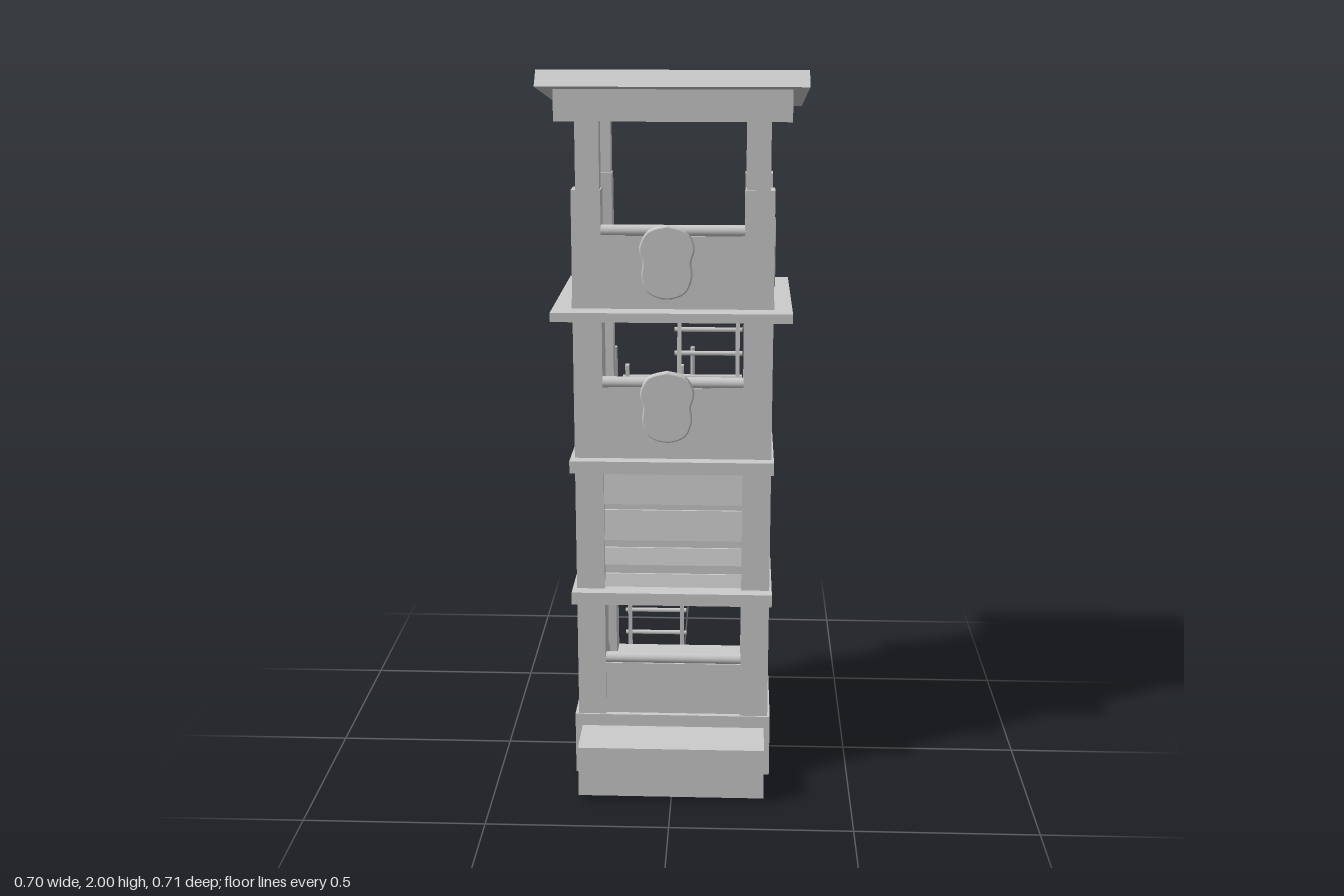
import * as THREE from 'three';

const mat = new THREE.MeshStandardMaterial({ color: 0xcccccc });
const V = (x, y, z) => new THREE.Vector3(x, y, z);

export function createModel() {
  const root = new THREE.Group();

  const add = (name, geo, parent = root) => {
    const m = new THREE.Mesh(geo, mat);
    m.name = name;
    parent.add(m);
    return m;
  };
  // Box given by its limits
  const box = (name, x0, x1, y0, y1, z0, z1, parent) => {
    const g = new THREE.BoxGeometry(x1 - x0, y1 - y0, z1 - z0);
    g.translate((x0 + x1) / 2, (y0 + y1) / 2, (z0 + z1) / 2);
    return add(name, g, parent);
  };
  // Round bar between two points
  const bar = (name, a, b, r, parent, sides = 14) => {
    const d = b.clone().sub(a);
    const m = add(name, new THREE.CylinderGeometry(r, r, d.length(), sides), parent);
    m.position.copy(a).add(b).multiplyScalar(0.5);
    m.quaternion.setFromUnitVectors(V(0, 1, 0), d.normalize());
    return m;
  };
  // Side profile of [z, y] points, extruded across x
  const profile = (name, pts, x0, x1, parent) => {
    const s = new THREE.Shape(pts.map(([z, y]) => new THREE.Vector2(z, y)));
    const g = new THREE.ExtrudeGeometry(s, { depth: x1 - x0, bevelEnabled: false });
    g.rotateY(-Math.PI / 2).translate(x1, 0, 0);
    return add(name, g, parent);
  };

  // Plinth and front step
  box('base', -0.278, 0.275, 0.02, 0.2, -0.295, 0.215);
  box('frontStep', -0.258, 0.258, 0.02, 0.165, 0.2, 0.358);

  // Floors
  box('lowerFloor', -0.28, 0.275, 0.545, 0.58, -0.282, 0.245);
  box('middleFloor', -0.28, 0.275, 0.925, 0.96, -0.282, 0.245);
  box('upperFloor', -0.322, 0.318, 1.35, 1.375, -0.282, 0.27);
  box('upperFloorDeck', -0.27, 0.27, 1.375, 1.4, -0.25, 0.21);

  // Corner posts, the rear ones leaning and spreading towards the foot
  for (const s of [-1, 1]) {
    const span = (a, b) => (s > 0 ? [a, b] : [-b, -a]);
    const wide = span(0.19, 0.268), slim = span(0.193, 0.256);
    box('frontPost', ...wide, 0.2, 1.36, 0.155, 0.21);
    box('frontPostSleeve', ...wide, 1.4, 1.69, 0.14, 0.21);
    box('frontPostTop', ...slim, 1.6, 1.9, 0.155, 0.205);
    profile('rearPost', [[-0.2, 0.2], [-0.295, 0.2], [-0.265, 0.56], [-0.254, 0.95],
      [-0.24, 1.36], [-0.185, 1.36], [-0.18, 0.56]], ...wide);
    profile('rearPostSleeve', [[-0.19, 1.4], [-0.258, 1.4], [-0.236, 1.69], [-0.172, 1.69]], ...wide);
    profile('rearPostTop', [[-0.185, 1.6], [-0.245, 1.6], [-0.232, 1.885], [-0.182, 1.885]], ...slim);
  }

  // Sloping roof slab on a wedge-shaped frame
  profile('roofSlab', [[0.235, 2], [0.277, 1.96], [-0.315, 1.867], [-0.347, 1.907]], -0.35, 0.35);
  profile('roofFrame', [[0.21, 1.955], [0.21, 1.867], [-0.31, 1.867], [-0.31, 1.87]], -0.31, 0.31);

  // Star-shaped bracing on both sides of the open storeys
  for (const s of [-1, 1]) for (const [y0, y1] of [[0.2, 0.545], [0.96, 1.35]]) {
    const g = new THREE.Group();
    g.name = 'sideBracing';
    root.add(g);
    const x = 0.228 * s, f = 0.165, b = -0.215, ym = (y0 + y1) / 2 + 0.005;
    bar('uprightBrace', V(x, y0, -0.028), V(x, y1, -0.028), 0.027, g);
    bar('levelBrace', V(x, ym, f), V(x, ym, b), 0.014, g);
    bar('diagonalBrace', V(x, y0 + 0.01, f), V(x, y1 - 0.01, b), 0.017, g);
    bar('diagonalBrace', V(x, y1 - 0.01, f), V(x, y0 + 0.01, b), 0.017, g);
  }

  // Slatted walls of the closed storey: each slat tilts outward at its foot
  const slats = [[0.825, 0.918], [0.72, 0.805], [0.648, 0.695], [0.583, 0.618]];
  const slatWall = (name, half) => {
    const g = new THREE.Group();
    g.name = name;
    root.add(g);
    box('wallPanel', -half, half, 0.575, 0.93, -0.02, 0, g);
    for (const [y0, y1] of slats)
      profile('slat', [[-0.005, y0], [-0.005, y1], [0.006, y1], [0.016, y0]], -half + 0.002, half - 0.002, g);
    return g;
  };
  slatWall('frontSlatWall', 0.193).position.z = 0.185;
  for (const s of [-1, 1]) {
    const w = slatWall('sideSlatWall', 0.172);
    w.position.set(0.238 * s, 0, -0.012);
    w.rotation.y = s * Math.PI / 2;
  }

  // Shield with a round head and a pinched waist
  const shieldShape = new THREE.Shape(new THREE.SplineCurve(
    [[0, 0.098], [0.05, 0.083], [0.073, 0.04], [0.064, 0.0], [0.067, -0.04], [0.048, -0.082], [0, -0.098],
      [-0.048, -0.082], [-0.067, -0.04], [-0.064, 0.0], [-0.073, 0.04], [-0.05, 0.083], [0, 0.098]]
      .map(p => new THREE.Vector2(...p))).getPoints(48).slice(0, -1));
  const shieldGeo = new THREE.ExtrudeGeometry(shieldShape,
    { depth: 0.02, bevelThickness: 0.004, bevelSize: 0.004, bevelOffset: -0.004, bevelSegments: 2 });

  // Parapet: a panel, a round rail and, where asked, a shield
  const parapet = (name, half, y0, y1, shieldX, shieldY) => {
    const g = new THREE.Group();
    g.name = name;
    root.add(g);
    box('parapetPanel', -half, half, y0, y1, -0.015, 0.015, g);
    bar('parapetRail', V(-half, y1 + 0.012, 0), V(half, y1 + 0.012, 0), 0.016, g);
    if (shieldY) add('shield', shieldGeo, g).position.set(shieldX, shieldY, 0.012);
    return g;
  };
  parapet('lowerFrontParapet', 0.193, 0.2, 0.352).position.z = 0.185;
  parapet('middleFrontParapet', 0.193, 0.96, 1.158, -0.015, 1.108).position.z = 0.195;
  parapet('upperFrontParapet', 0.193, 1.4, 1.57, -0.015, 1.502).position.z = 0.195;
  for (const s of [-1, 1]) {
    const p = parapet('upperSideParapet', 0.175, 1.4, 1.535, 0, 1.493);
    p.position.set(0.238 * s, 0, -0.013);
    p.rotation.y = s * Math.PI / 2;
  }

  // Ladders: two square-cut rails with round rungs
  const ladder = (name, x0, x1, foot, head, rungs) => {
    const g = new THREE.Group();
    g.name = name;
    root.add(g);
    const at = (x, t) => V(x, foot[0] + (head[0] - foot[0]) * t, foot[1] + (head[1] - foot[1]) * t);
    for (const x of [x0, x1]) {
      const d = at(x, 1).sub(at(x, 0));
      const m = add('ladderRail', new THREE.BoxGeometry(0.012, d.length(), 0.018), g);
      m.position.copy(at(x, 0.5));
      m.quaternion.setFromUnitVectors(V(0, 1, 0), d.normalize());
    }
    for (let i = 0; i < rungs; i++) {
      const t = (i + 0.9) / (rungs + 0.4);
      bar('ladderRung', at(x0 - 0.014, t), at(x1 + 0.014, t), 0.007, g, 8);
    }
  };
  ladder('outerLadder', -0.157, 0.006, [0.004, -0.345], [1.105, -0.287], 14);
  ladder('innerLadder', 0.005, 0.173, [0.98, -0.11], [1.35, -0.14], 5);

  // Short grab bars beside the head of the outer ladder
  for (const x of [-0.19, 0.04])
    bar('grabBar', V(x, 0.95, -0.275), V(x, 1.17, -0.245), 0.007, root, 8);

  return root;
}
